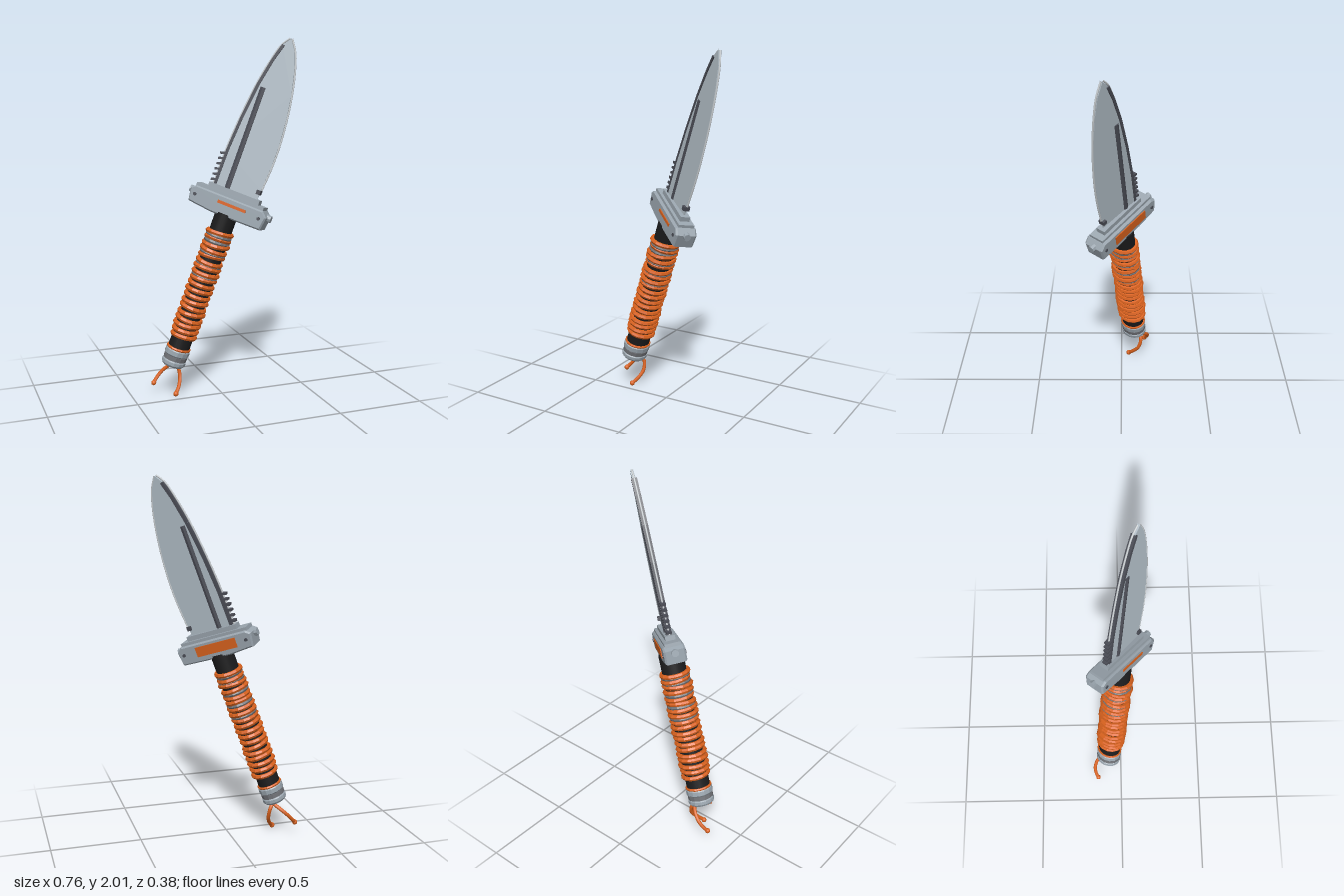
import * as THREE from 'three';

export function createModel() {
  const root = new THREE.Group();
  root.name = 'knife';
  const mat = (name, color, extra = {}) => {
    const m = new THREE.MeshStandardMaterial({ color, ...extra });
    m.name = name;
    return m;
  };
  const flat = { flatShading: true };
  const steel = mat('bladeSteel', 0xb2bec7, flat);
  const bright = mat('brightEdge', 0xc9ced1);
  const guardMat = mat('guardSteel', 0x9aa5ae, flat);
  const dark = mat('darkSteel', 0x4b4d56, flat);
  const black = mat('blackGrip', 0x1c1c1d);
  const orange = mat('orangeCord', 0xd9621e, flat);
  const orangeSmooth = mat('orangeCordSmooth', 0xd9621e);
  const grey = mat('greyCord', 0x6f7176, flat);

  let seed = 7;
  const rnd = () => (seed = (seed * 16807) % 2147483647) / 2147483647 - 0.5;

  // Leaning frame: x across the blade (edge side +), y along the knife, z through the blade
  const A = new THREE.Vector3(0.325, 0.942, 0.086).normalize();
  const T = new THREE.Vector3(0.714, -0.305, 0.63).cross(A).normalize();
  const W = new THREE.Vector3().crossVectors(A, T);
  const knife = new THREE.Group();
  knife.name = 'leaningKnife';
  knife.applyMatrix4(new THREE.Matrix4().makeBasis(W, A, T));
  knife.position.set(-0.255, 0.23, -0.075);
  root.add(knife);

  const add = (name, geo, m, x = 0, y = 0, z = 0, parent = knife) => {
    const mesh = new THREE.Mesh(geo, m);
    mesh.name = name;
    mesh.position.set(x, y, z);
    parent.add(mesh);
    return mesh;
  };
  const box = (name, m, sx, sy, sz, x, y, z = 0) =>
    add(name, new THREE.BoxGeometry(sx, sy, sz), m, x, y, z);
  const v2 = (p) => new THREE.Vector2(...p);
  const tube = (name, pts, r, m, parent = knife, segs = 32) =>
    add(name, new THREE.TubeGeometry(
      new THREE.CatmullRomCurve3(pts.map((p) => new THREE.Vector3(...p))), segs, r, 7), m, 0, 0, 0, parent);

  // Blade: extruded outline thinned evenly from spine to cutting edge
  const edge = [[0.135, 0.97], [0.14, 1.06], [0.15, 1.2], [0.15, 1.32], [0.138, 1.47],
    [0.118, 1.6], [0.09, 1.72], [0.055, 1.82], [0.012, 1.885]];
  const spine = [[-0.022, 1.84], [-0.05, 1.75], [-0.082, 1.6], [-0.107, 1.4], [-0.122, 1.2], [-0.125, 0.97]];
  const bladeGeo = new THREE.ExtrudeGeometry(
    new THREE.Shape([...edge, ...spine].map(v2)), { depth: 2, bevelEnabled: false });
  bladeGeo.translate(0, 0, -1);
  const bp = bladeGeo.attributes.position;
  for (let i = 0; i < bp.count; i++) {
    bp.setZ(i, bp.getZ(i) * THREE.MathUtils.mapLinear(bp.getX(i), -0.13, 0.155, 0.014, 0.003));
  }
  bladeGeo.computeVertexNormals();
  add('blade', bladeGeo, steel);

  // Bright rims along the cutting edge and the spine
  tube('cuttingEdge', edge.slice(1).map(([w, a]) => [w + 0.004, a, 0]), 0.005, bright);
  tube('spineRim', [edge[8], ...spine].map(([w, a]) => [w - 0.008, a, 0]), 0.005, bright);

  // Dark strip along the spine
  for (let i = 0; i < spine.length - 1; i++) {
    const [w0, a0] = spine[i], [w1, a1] = spine[i + 1];
    const strip = box('spineStrip', dark, 0.016, Math.hypot(w1 - w0, a1 - a0), 0.032,
      (w0 + w1) / 2 + 0.006, (a0 + a1) / 2);
    strip.rotation.z = Math.atan2(w1 - w0, -(a1 - a0)) + Math.PI;
  }

  // Fuller bar, saw teeth and notch peg
  const fuller = add('fuller', new THREE.CylinderGeometry(0.02, 0.02, 0.59, 8), dark, -0.045, 1.295);
  fuller.scale.z = 0.9;
  for (let i = 0; i < 6; i++) {
    box('sawTooth', dark, 0.034, 0.013, 0.03, -0.135, 1.025 + i * 0.031).rotation.z = 0.25;
  }
  box('notchPeg', dark, 0.024, 0.024, 0.036, 0.133, 1.045);

  // Guard: tapered block, stepped plate and blade collar
  const guardShape = new THREE.Shape([[-0.215, 0.875], [-0.08, 0.862], [0.08, 0.862], [0.215, 0.865],
    [0.225, 0.93], [0.2, 0.955], [-0.2, 0.955], [-0.225, 0.94]].map(v2));
  const guardGeo = new THREE.ExtrudeGeometry(guardShape, {
    depth: 0.1, bevelEnabled: true, bevelSize: 0.008, bevelThickness: 0.01, bevelSegments: 1 });
  add('guard', guardGeo, guardMat, 0, 0, -0.05);
  box('guardPlate', guardMat, 0.41, 0.022, 0.09, -0.005, 0.968);
  box('bladeCollar', guardMat, 0.31, 0.03, 0.055, 0.005, 0.99);
  box('backInlay', orange, 0.25, 0.055, 0.008, -0.01, 0.915, -0.061);
  box('frontInlay', orange, 0.17, 0.016, 0.008, 0.03, 0.925, 0.061);
  for (const s of [-1, 1]) {
    const bolt = add('guardBolt', new THREE.CylinderGeometry(0.02, 0.02, 0.03, 8), guardMat, s * 0.235, 0.93);
    bolt.rotation.z = Math.PI / 2;
    const pin = add('guardPin', new THREE.CylinderGeometry(0.01, 0.01, 0.13, 8), dark, s * 0.195, 0.915);
    pin.rotation.x = Math.PI / 2;
  }

  // Grip core, slightly oval
  const grip = new THREE.Group();
  grip.name = 'grip';
  grip.scale.x = 0.9;
  knife.add(grip);
  add('gripCore', new THREE.CylinderGeometry(0.07, 0.068, 0.84, 20), black, 0, 0.45, 0, grip);

  // Cord wrapping, each turn a little uneven
  const turns = 19;
  for (let i = 0; i < turns; i++) {
    const ring = add('cordTurn', new THREE.TorusGeometry(0.076 + rnd() * 0.005, 0.0135, 6, 14),
      orange, rnd() * 0.006, 0.135 + i * 0.0345, rnd() * 0.006, grip);
    ring.rotation.set(Math.PI / 2 + rnd() * 0.14, rnd() * 0.14, rnd() * 3);
  }
  for (const i of [10, 12, 14, 16, 17]) {
    const ring = add('greyTurn', new THREE.TorusGeometry(0.073, 0.011, 6, 14),
      grey, 0, 0.152 + i * 0.0345, 0, grip);
    ring.rotation.x = Math.PI / 2;
  }

  // Pommel: banded cap
  const cap = [[0, -0.05], [0.066, -0.05], [0.076, -0.038], [0.076, -0.02], [0.068, -0.012],
    [0.068, 0.012], [0.078, 0.02], [0.078, 0.045], [0.07, 0.055], [0, 0.055]].map(v2);
  add('pommel', new THREE.LatheGeometry(cap, 14), guardMat, 0, 0, 0, grip);
  add('pommelBand', new THREE.CylinderGeometry(0.074, 0.074, 0.024, 14), grey, 0, 0, 0, grip);
  const lip = add('pommelCord', new THREE.TorusGeometry(0.07, 0.008, 6, 14), orange, 0, 0.058, 0, grip);
  lip.rotation.x = Math.PI / 2;

  // Hanging cord with two knotted tails
  tube('cordLoop', [[-0.32, 0.195, -0.05], [-0.285, 0.185, -0.09], [-0.235, 0.175, -0.115]],
    0.012, orangeSmooth, root, 12);
  const tails = [
    [[-0.25, 0.185, -0.105], [-0.225, 0.145, -0.12], [-0.22, 0.09, -0.105], [-0.24, 0.045, -0.07], [-0.264, 0.017, -0.046]],
    [[-0.24, 0.18, -0.11], [-0.272, 0.155, -0.145], [-0.31, 0.122, -0.163], [-0.345, 0.085, -0.158], [-0.366, 0.062, -0.145]],
  ];
  for (const pts of tails) {
    tube('cordTail', pts, 0.0105, orangeSmooth, root, 20);
    add('cordKnot', new THREE.SphereGeometry(0.015, 10, 8), orangeSmooth, ...pts[4], root);
  }
  return root;
}
